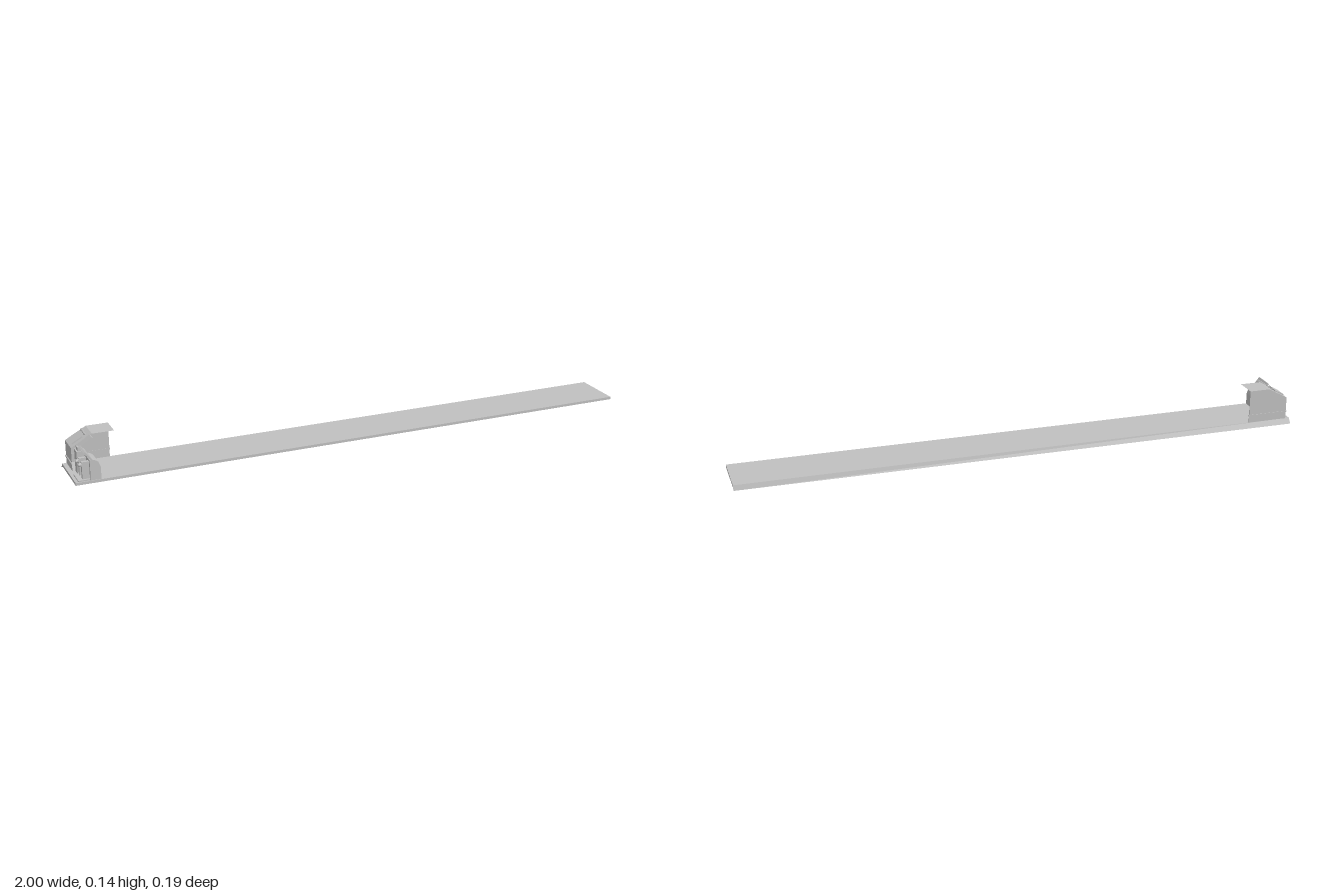
import * as THREE from 'three';

export function createModel() {
  const model = new THREE.Group();
  const grey = new THREE.MeshStandardMaterial({ color: 0xc0c0c0, side: THREE.DoubleSide, flatShading: true });
  grey.name = 'light grey';

  function add(name, geometry, x = 0, y = 0, z = 0, parent = model) {
    const mesh = new THREE.Mesh(geometry, grey);
    mesh.name = name;
    mesh.position.set(x, y, z);
    parent.add(mesh);
    return mesh;
  }
  const box = (name, x0, x1, y0, y1, z0, z1, parent) =>
    add(name, new THREE.BoxGeometry(x1 - x0, y1 - y0, z1 - z0), (x0 + x1) / 2, (y0 + y1) / 2, (z0 + z1) / 2, parent);

  // Side outline in x and y, extruded along z
  function profile(name, points, z0, z1, parent) {
    const shape = new THREE.Shape(points.map(p => new THREE.Vector2(...p)));
    return add(name, new THREE.ExtrudeGeometry(shape, { depth: z1 - z0, bevelEnabled: false }), 0, 0, z0, parent);
  }
  // Open folded sheet following a line in x and y
  function sheet(name, points, z0, z1, parent) {
    const v = [], index = [];
    points.forEach(([x, y], i) => {
      v.push(x, y, z0, x, y, z1);
      if (i) index.push(2 * i - 2, 2 * i - 1, 2 * i, 2 * i - 1, 2 * i + 1, 2 * i);
    });
    const g = new THREE.BufferGeometry();
    g.setAttribute('position', new THREE.Float32BufferAttribute(v, 3));
    g.setIndex(index);
    g.computeVertexNormals();
    return add(name, g, 0, 0, 0, parent);
  }

  // Long deck
  box('deck', -1, 1, 0.009, 0.018, -0.083, 0.097);

  // Back skirt, flaring slightly toward the machine end
  const skirt = new THREE.BufferGeometry();
  skirt.setAttribute('position', new THREE.Float32BufferAttribute(
    [-1, 0.018, -0.083, 1, 0.018, -0.083, 1, 0, -0.088, -1, 0, -0.097], 3));
  skirt.setIndex([0, 1, 2, 0, 2, 3]);
  skirt.computeVertexNormals();
  add('backSkirt', skirt);

  // Hood, open toward the deck
  const hood = new THREE.Group();
  hood.name = 'hood';
  model.add(hood);
  const hoodLine = [[-0.985, 0.018], [-0.985, 0.098], [-0.914, 0.137], [-0.84, 0.137]];
  sheet('hoodShell', hoodLine, -0.083, -0.005, hood);
  profile('hoodBack', [...hoodLine, [-0.84, 0.018]], -0.084, -0.082, hood);
  box('backRail', -0.985, -0.838, 0.042, 0.047, -0.086, -0.081, hood);
  box('endRail', -0.988, -0.984, 0.042, 0.047, -0.083, -0.005, hood);

  // Control panel on the sloping hood face
  const panel = new THREE.Group();
  panel.name = 'controlPanel';
  panel.position.set(-0.95, 0.118, -0.044);
  panel.rotation.z = Math.atan2(0.039, 0.071);
  model.add(panel);
  box('screen', -0.03, 0.01, 0, 0.004, -0.03, 0.022, panel);
  for (let i = 0; i < 3; i++) {
    add('knob', new THREE.CylinderGeometry(0.004, 0.004, 0.008, 10), 0.022, 0.004, -0.022 + i * 0.018, panel);
  }

  // Middle column with a leaning head
  const column = new THREE.Group();
  column.name = 'middleColumn';
  model.add(column);
  box('columnBody', -0.975, -0.945, 0.018, 0.095, -0.004, 0.026, column);
  box('columnNeck', -0.97, -0.955, 0.095, 0.107, 0, 0.022, column);
  profile('columnHead', [[-0.955, 0.1], [-0.918, 0.133], [-0.923, 0.137], [-0.965, 0.107]], -0.004, 0.026, column);

  // Front console with a rounded body and leaning display
  const consoleGroup = new THREE.Group();
  consoleGroup.name = 'frontConsole';
  model.add(consoleGroup);
  profile('consoleBody', [[-0.95, 0.018], [-0.915, 0.018], [-0.915, 0.06], [-0.922, 0.078], [-0.934, 0.086], [-0.95, 0.087]],
    0.027, 0.094, consoleGroup);
  profile('consoleDisplay', [[-0.945, 0.084], [-0.94, 0.088], [-0.963, 0.117], [-0.968, 0.114]], 0.027, 0.096, consoleGroup);

  // Fittings on the outer end
  box('footPlate', -0.99, -0.95, 0.018, 0.022, 0.03, 0.092);
  for (const z of [0.042, 0.078]) {
    box('support', -0.974, -0.95, 0.022, 0.08, z - 0.006, z + 0.006);
    const knob = add('endKnob', new THREE.CylinderGeometry(0.006, 0.006, 0.012, 12), -0.978, 0.07, z);
    knob.rotation.z = Math.PI / 2;
  }

  return model;
}
